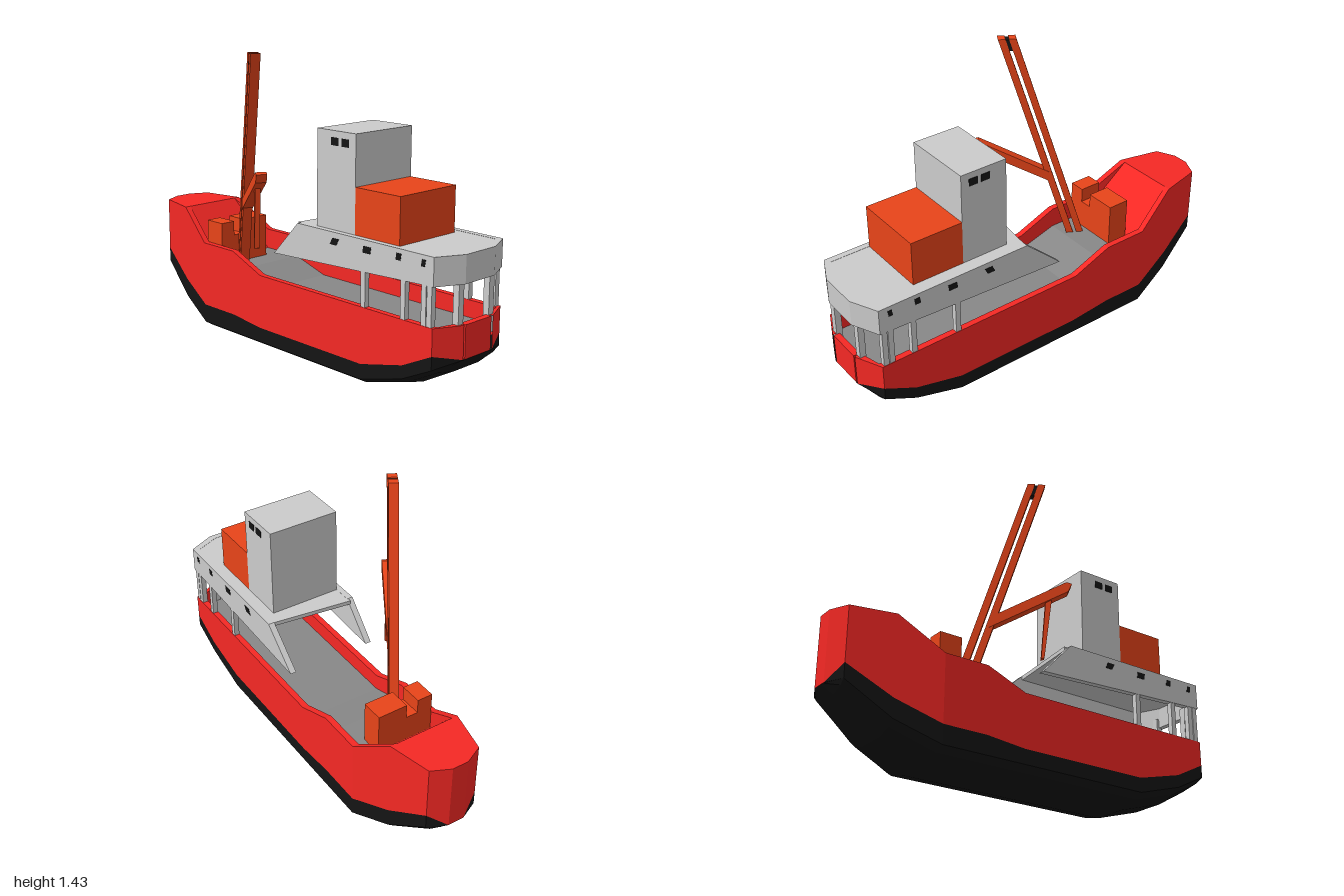
import * as THREE from 'three';

const material = (color) => new THREE.MeshStandardMaterial({ color, flatShading: true, side: THREE.DoubleSide });
const RED = material(0xf52824), BLACK = material(0x141414), ORANGE = material(0xe84419);
const GREY = material(0xcccccc), DECK = material(0x888888);

function add(parent, name, geometry, mat, x = 0, y = 0, z = 0) {
  const mesh = new THREE.Mesh(geometry, mat);
  mesh.name = name;
  mesh.position.set(x, y, z);
  parent.add(mesh);
  return mesh;
}

// Box given by its low and high corners
function block(parent, name, mat, [x0, y0, z0], [x1, y1, z1]) {
  return add(parent, name, new THREE.BoxGeometry(x1 - x0, y1 - y0, z1 - z0), mat,
    (x0 + x1) / 2, (y0 + y1) / 2, (z0 + z1) / 2);
}

function extrude(points, depth) {
  const shape = new THREE.Shape(points.map(([x, y]) => new THREE.Vector2(x, y)));
  return new THREE.ExtrudeGeometry(shape, { depth, bevelEnabled: false });
}

// Outline given in x and z, raised upwards
const plan = (points, height) => extrude(points.map(([x, z]) => [x, -z]), height).rotateX(-Math.PI / 2);

// Surface through a row of equal-length cross-sections
function loft(sections) {
  const n = sections[0].length, index = [];
  for (let i = 0; i < sections.length - 1; i++) {
    for (let j = 0; j < n - 1; j++) {
      const a = i * n + j, b = a + n;
      index.push(a, a + 1, b, b, a + 1, b + 1);
    }
  }
  const geometry = new THREE.BufferGeometry();
  geometry.setAttribute('position', new THREE.Float32BufferAttribute(sections.flat(2), 3));
  geometry.setIndex(index);
  geometry.computeVertexNormals();
  return geometry;
}

// Hull stations from bow to stern: x, half width, sheer, waterline, bilge, keel, deck
const STATIONS = [
  [-1, 0.04, 0.6, 0.27, 0.27, 0.27, 0.6],
  [-0.957, 0.13, 0.6, 0.34, 0.27, 0.225, 0.6],
  [-0.75, 0.177, 0.6, 0.22, 0.13, 0.08, 0.6],
  [-0.54, 0.225, 0.46, 0.14, 0.05, 0, 0.36],
  [-0.32, 0.225, 0.46, 0.14, 0.05, 0, 0.36],
  [-0.12, 0.225, 0.38, 0.12, 0.05, 0, 0.3],
  [0.54, 0.225, 0.38, 0.12, 0.05, 0, 0.3],
  [0.78, 0.225, 0.38, 0.18, 0.12, 0.07, 0.3],
  [0.94, 0.225, 0.38, 0.26, 0.2, 0.16, 0.3],
  [1, 0.095, 0.38, 0.23, 0.23, 0.23, 0.3],
];
const RAIL = 0.03;

function buildHull(parent) {
  const hull = new THREE.Group();
  hull.name = 'hull';
  parent.add(hull);

  // Black bottom
  add(hull, 'bottom', loft(STATIONS.map(([x, w, , water, bilge, keel]) => {
    const half = [[w, water], [w, bilge], [0.82 * w, (bilge + keel) / 2], [0.37 * w, keel]];
    const mirrored = half.map(([z, y]) => [-z, y]).reverse();
    return [...half, ...mirrored].map(([z, y]) => [x, y, z]);
  })), BLACK);

  // Red sides with rail and inner bulwark
  for (const s of [1, -1]) {
    add(hull, 'hullSide', loft(STATIONS.map(([x, w, top, water]) => [[x, water, s * w], [x, top, s * w]])), RED);
    add(hull, 'bulwark', loft(STATIONS.slice(2).map(([x, w, top, , , , deck]) => {
      const inX = Math.min(x, 0.97), inW = x === 1 ? 0.08 : w - RAIL;
      return [[x, top, s * w], [inX, top, s * inW], [inX, deck, s * inW]];
    })), RED);
  }

  // Stem and stern end panels
  block(hull, 'stem', RED, [-1, 0.27, -0.04], [-0.99, 0.6, 0.04]);
  block(hull, 'sternPanel', RED, [0.97, 0.23, -0.085], [1, 0.38, 0.085]);

  // Raised bow deck, ramp and main deck
  const across = (list, inset) => loft(list.map(([x, w, , , , , deck]) =>
    [[Math.min(x, 0.98), deck, w - inset], [Math.min(x, 0.98), deck, inset - w]]));
  add(hull, 'bowDeck', loft(STATIONS.slice(0, 3).map(([x, w, top]) => [[x, top, w], [x, top, -w]])), RED);
  add(hull, 'ramp', across(STATIONS.slice(2, 4), RAIL), RED);
  add(hull, 'mainDeck', across(STATIONS.slice(3), RAIL), DECK);
}

function buildSuperstructure(parent) {
  const house = new THREE.Group();
  house.name = 'superstructure';
  parent.add(house);

  // Canopy roof, side panels and wrapped stern wall
  add(house, 'canopyRoof', plan([[0.12, 0.2], [0.94, 0.22], [0.998, 0.095], [0.998, -0.095],
    [0.94, -0.22], [0.17, -0.2]], 0.02), GREY, 0, 0.659, 0);
  for (const [z, front] of [[0.195, 0.14], [-0.225, 0.17]]) {
    add(house, 'canopySide', extrude([[-0.02, 0.51], [0.92, 0.555], [0.94, 0.555], [0.94, 0.68], [front, 0.68]],
      RAIL), GREY, 0, 0, z);
  }
  add(house, 'canopyStern', plan([[0.94, 0.225], [1, 0.095], [1, -0.095], [0.94, -0.225],
    [0.92, -0.195], [0.97, -0.08], [0.97, 0.08], [0.92, 0.195]], 0.125), GREY, 0, 0.555, 0);

  // Slanted windows along both canopy sides
  for (const [x, w] of [[0.375, 0.04], [0.57, 0.045], [0.75, 0.027], [0.885, 0.02]]) {
    const lean = x < 0.5 ? 0.015 : 0.005;
    for (const z of [0.2235, -0.2265]) {
      add(house, 'canopyWindow', extrude([[-w / 2 - lean / 2, -0.015], [w / 2 - lean / 2, -0.015],
        [w / 2 + lean / 2, 0.015], [lean / 2 - w / 2, 0.015]], 0.003), BLACK, x, x < 0.6 ? 0.638 : 0.645, z);
    }
  }

  // Posts on the sides and stern
  for (const s of [1, -1]) {
    for (const x of [0.547, 0.775, 0.888, 0.918]) {
      block(house, 'sidePost', GREY, [x - 0.013, 0.3, s * 0.21 - 0.013], [x + 0.013, 0.57, s * 0.21 + 0.013]);
    }
    block(house, 'sternPost', GREY, [0.955, 0.3, s * 0.1 - 0.016], [0.985, 0.6, s * 0.1 + 0.016]);
  }

  // Bridge tower with windows, and the cabin behind it
  block(house, 'bridgeTower', GREY, [0.235, 0.67, -0.16], [0.47, 1.12, 0.195]);
  block(house, 'cabin', ORANGE, [0.47, 0.67, -0.16], [0.728, 0.89, 0.195]);
  for (const x of [0.322, 0.385]) {
    for (const z of [0.195, -0.16]) {
      block(house, 'bridgeWindow', BLACK, [x, 1.055, z - 0.002], [x + 0.045, 1.09, z + 0.002]);
    }
  }
}

function buildCrane(parent) {
  // Local x runs along the crane's swing direction
  const crane = new THREE.Group();
  crane.name = 'crane';
  crane.position.set(-0.385, 0, 0.03);
  crane.rotation.y = -Math.PI / 6;
  parent.add(crane);
  const beam = (name, points, t, mat = ORANGE) => add(crane, name, extrude(points, t), mat, 0, 0, -t / 2);

  // Leaning twin mast with a dark spacer at its head
  const lean = (y) => 0.313 * (y - 0.36);
  const upright = (a, b, y0, y1) => [[lean(y0) + a, y0], [lean(y0) + b, y0], [lean(y1) + b, y1], [lean(y1) + a, y1]];
  beam('mastBeam', upright(-0.042, -0.008, 0.35, 1.43), 0.045);
  beam('mastBeam', upright(0.008, 0.042, 0.35, 1.43), 0.045);
  beam('mastSpacer', upright(-0.008, 0.008, 1.37, 1.425), 0.04, BLACK);

  // Jib and hanging arm
  beam('jib', [[0.12, 0.665], [0.478, 0.865], [0.495, 0.905], [0.47, 0.912], [0.13, 0.72]], 0.05);
  beam('hangingArm', [[0.353, 0.53], [0.368, 0.535], [0.405, 0.84], [0.375, 0.82]], 0.025);
}

export function createModel() {
  const model = new THREE.Group();
  model.name = 'ship';

  // The vessel's centreline lies slightly behind the origin
  const vessel = new THREE.Group();
  vessel.name = 'vessel';
  vessel.position.z = -0.075;
  model.add(vessel);
  buildHull(vessel);
  buildSuperstructure(vessel);
  buildCrane(model);

  // Winch housing with a slot
  block(model, 'winchHousing', ORANGE, [-0.55, 0.34, -0.17], [-0.44, 0.57, -0.02]);
  block(model, 'winchBase', ORANGE, [-0.55, 0.34, -0.02], [-0.44, 0.5, 0.04]);
  block(model, 'winchHousing', ORANGE, [-0.55, 0.34, 0.04], [-0.44, 0.57, 0.118]);
  return model;
}
